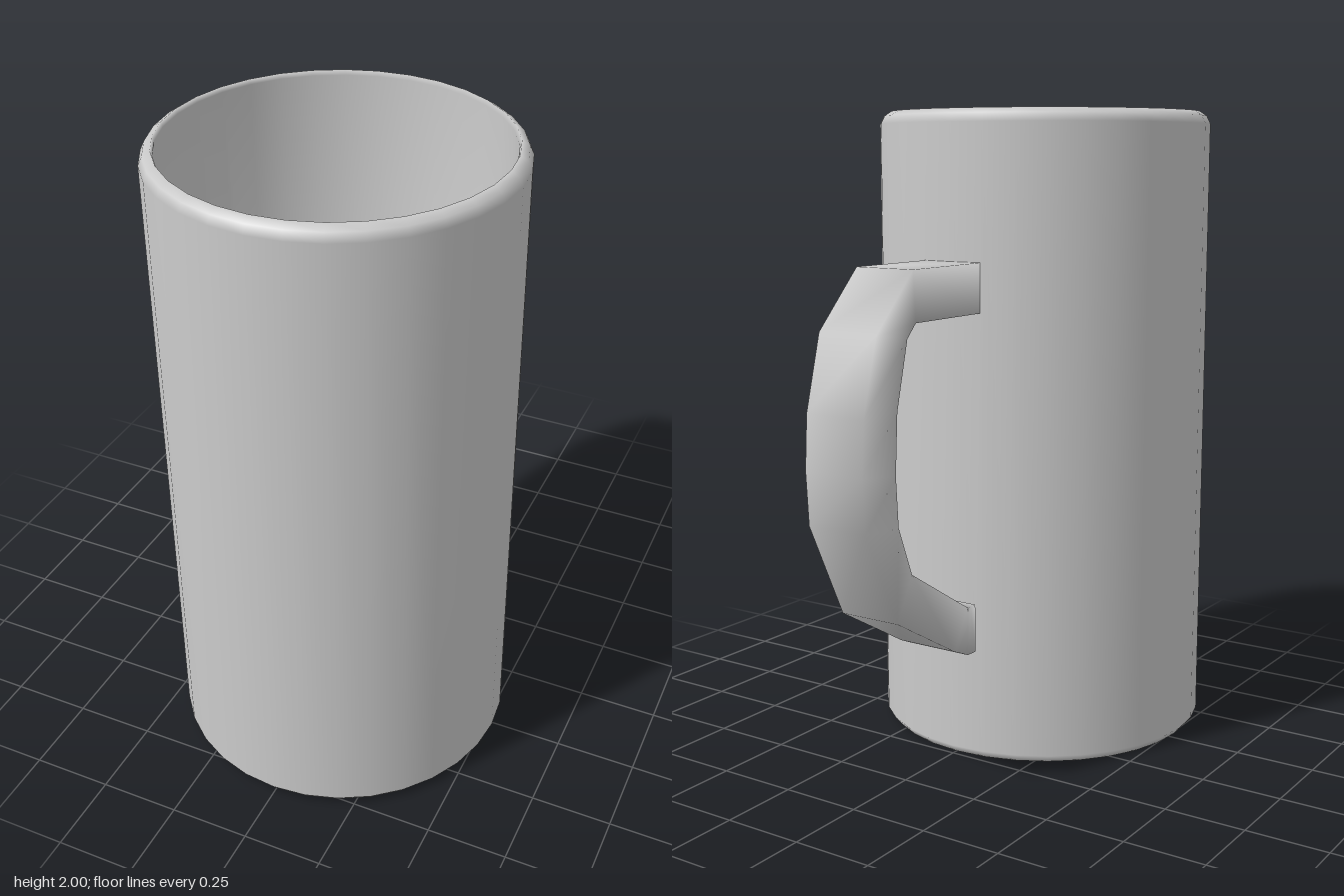
import * as THREE from 'three';

const material = new THREE.MeshStandardMaterial({ color: 0xcccccc, roughness: 0.8 });

// Hollow cup turned from one profile: underside, outer wall, rim, inner wall, floor
function createCup() {
  const profile = [
    [0, 0], [0.51, 0], [0.53, 0.025], [0.53, 1.96], [0.518, 1.985], [0.495, 2],
    [0.49, 1.985], [0.49, 0.05], [0, 0.05],
  ].map(([r, y]) => new THREE.Vector2(r, y));
  const cup = new THREE.Mesh(new THREE.LatheGeometry(profile, 32), material);
  cup.name = 'cup';
  cup.position.z = 0.28;
  return cup;
}

// Rectangular bar swept through sections given as [outer z, outer y, inner z, inner y]
function createHandle() {
  const sections = [
    [-0.24, 1.55, -0.24, 1.40],
    [-0.57, 1.55, -0.56, 1.40],
    [-0.74, 1.38, -0.60, 1.36],
    [-0.80, 1.16, -0.65, 1.16],
    [-0.81, 1.00, -0.66, 0.98],
    [-0.80, 0.84, -0.65, 0.83],
    [-0.66, 0.55, -0.59, 0.68],
    [-0.38, 0.39, -0.31, 0.51],
    [-0.31, 0.36, -0.295, 0.51],
    [-0.27, 0.36, -0.27, 0.51],
  ];
  const half = 0.1;
  const positions = [];
  const indices = [];
  const addSection = ([oz, oy, iz, iy]) =>
    positions.push(half, oy, oz, -half, oy, oz, -half, iy, iz, half, iy, iz);

  sections.forEach(addSection);
  for (let i = 0; i < sections.length - 1; i++) {
    for (let j = 0; j < 4; j++) {
      const a = i * 4 + j;
      const b = i * 4 + (j + 1) % 4;
      indices.push(a, a + 4, b, b, a + 4, b + 4);
    }
  }

  // End caps have their own corners so their edges stay sharp
  const start = positions.length / 3;
  addSection(sections[0]);
  indices.push(start, start + 1, start + 2, start, start + 2, start + 3);
  const end = start + 4;
  addSection(sections[sections.length - 1]);
  indices.push(end, end + 2, end + 1, end, end + 3, end + 2);

  const geometry = new THREE.BufferGeometry();
  geometry.setAttribute('position', new THREE.Float32BufferAttribute(positions, 3));
  geometry.setIndex(indices);
  geometry.computeVertexNormals();
  // The lower end faces the cup, so flip its cap if the sweep turned round
  const handle = new THREE.Mesh(geometry, material.clone());
  handle.material.side = THREE.DoubleSide;
  handle.name = 'handle';
  return handle;
}

export function createModel() {
  const mug = new THREE.Group();
  mug.name = 'mug';
  mug.add(createCup(), createHandle());
  return mug;
}
